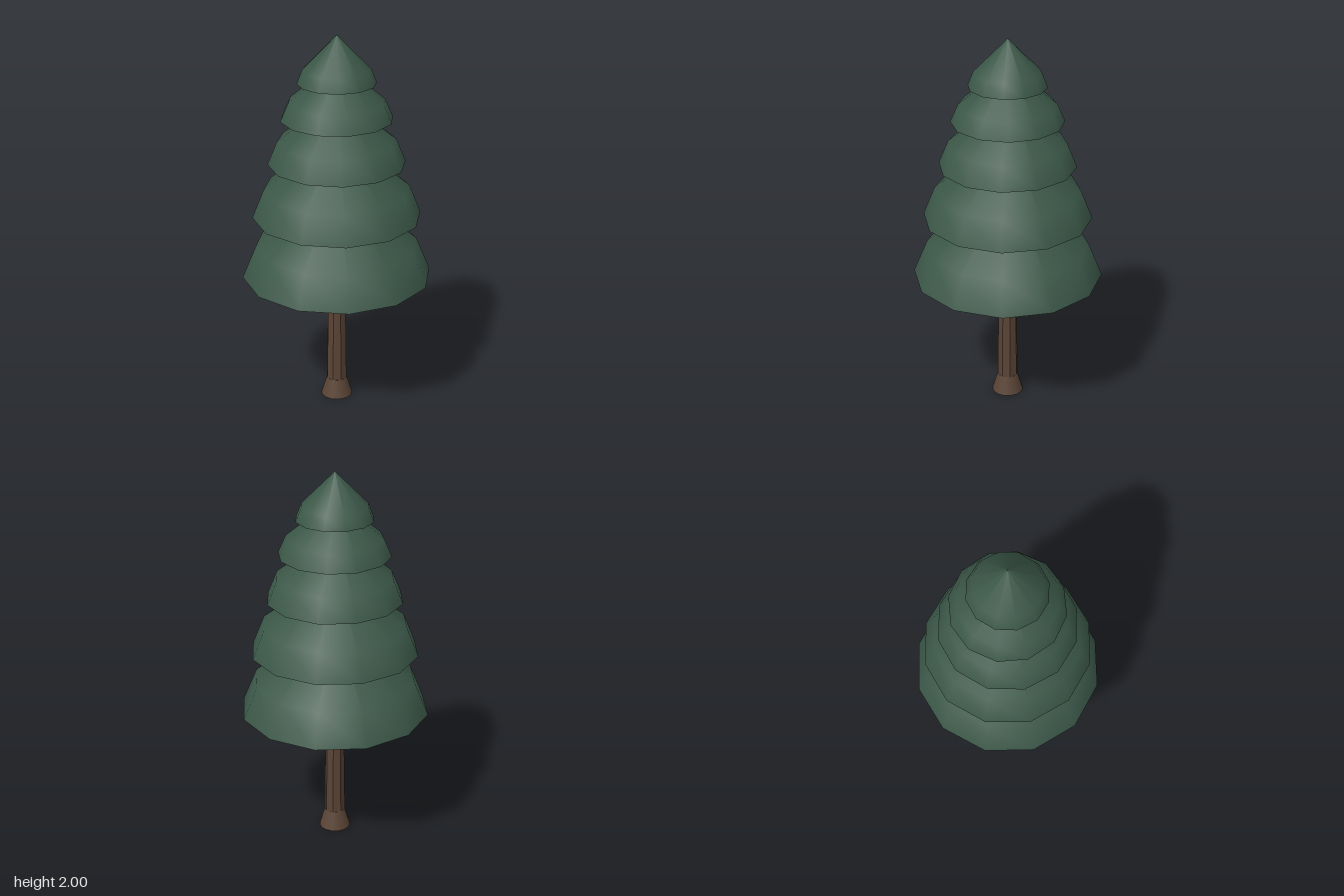
import * as THREE from 'three';

const V = (x, y) => new THREE.Vector2(x, y);

export function createModel() {
  const tree = new THREE.Group();
  tree.name = 'pineTree';

  const needles = new THREE.MeshStandardMaterial({ color: 0x3b5748, side: THREE.DoubleSide });
  needles.name = 'needleGreen';
  const bark = new THREE.MeshStandardMaterial({ color: 0x5a4436 });
  bark.name = 'barkBrown';

  const add = (name, geometry, material, y = 0) => {
    const mesh = new THREE.Mesh(geometry, material);
    mesh.name = name;
    mesh.position.y = y;
    tree.add(mesh);
  };

  // Foliage skirts: steep rim, then a cone to the tip, open underneath
  const SIDES = 12;
  const tiers = [
    // rim radius, rim y, shoulder radius, shoulder y, tip y, turn in degrees
    [0.495, 0.72, 0.422, 0.895, 1.235, 20.5],
    [0.437, 1.05, 0.376, 1.2, 1.49, 19.5],
    [0.353, 1.335, 0.303, 1.455, 1.69, 18.2],
    [0.288, 1.57, 0.248, 1.66, 1.865, 24.5],
    [0.2, 1.755, 0.172, 1.825, 2.0, 17.3],
  ];
  tiers.forEach(([rimR, rimY, midR, midY, tipY, turn], i) => {
    const profile = [V(rimR, rimY), V(midR, midY), V(0, tipY)];
    const angle = THREE.MathUtils.degToRad(turn);
    add(`foliageTier${i + 1}`, new THREE.LatheGeometry(profile, SIDES, angle), needles);
  });

  // Flat underside closing the lowest skirt
  const [rimR, rimY, , , , turn] = tiers[0];
  const underside = new THREE.CircleGeometry(rimR, SIDES, Math.PI / 2 - THREE.MathUtils.degToRad(turn));
  underside.rotateX(Math.PI / 2);
  add('foliageUnderside', underside, needles, rimY);

  // Faceted trunk running up to the tip of the lowest skirt
  const trunk = new THREE.CylinderGeometry(0.04, 0.056, 1.12, 8, 1, false, Math.PI / 8).toNonIndexed();
  trunk.computeVertexNormals();
  add('trunk', trunk, bark, 0.1 + 0.56);

  // Flared root collar
  add('rootFlare', new THREE.CylinderGeometry(0.054, 0.084, 0.1, 16), bark, 0.05);

  return tree;
}
